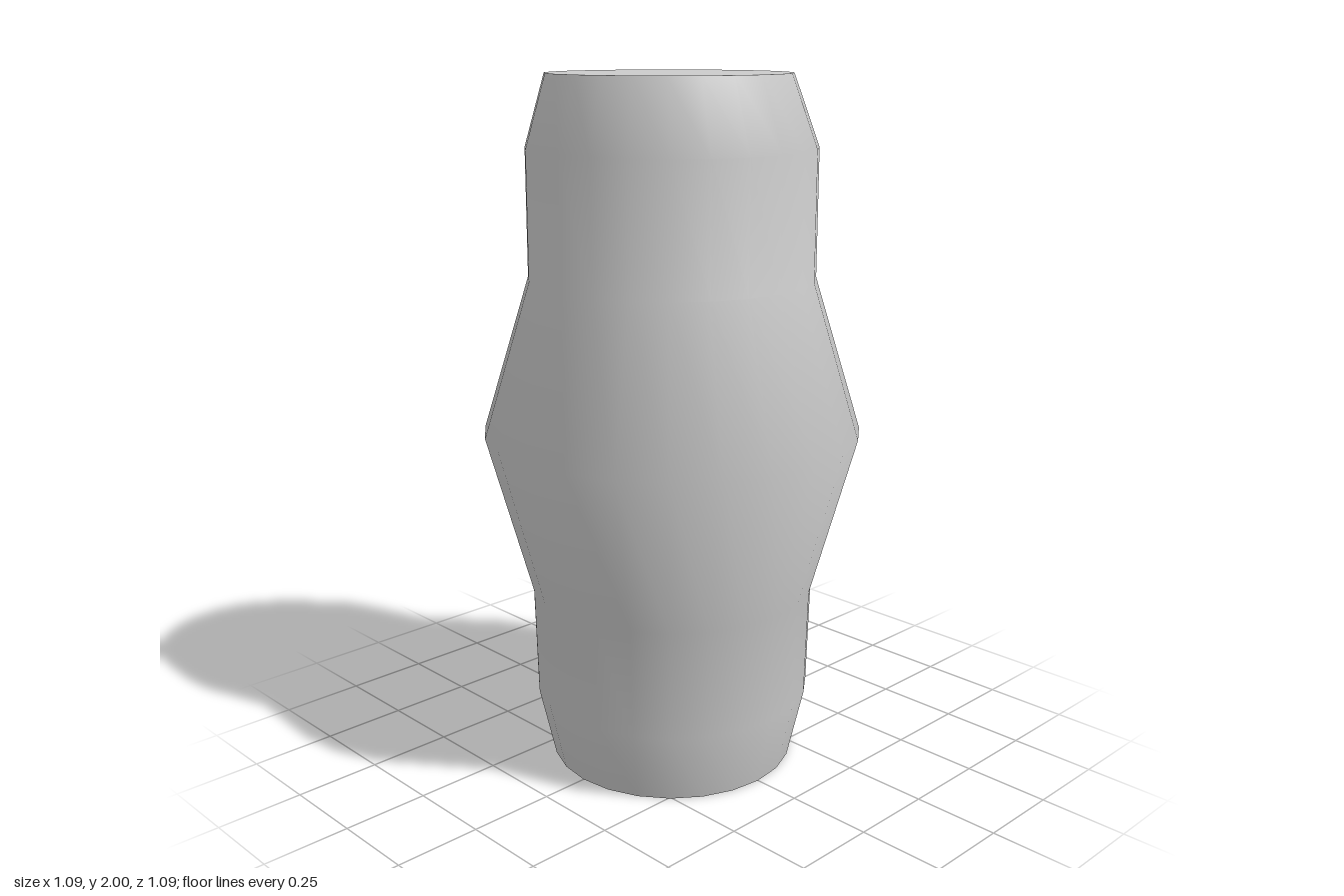
import * as THREE from 'three';

const SIDES = 24;

export function createModel() {
  const group = new THREE.Group();
  group.name = 'bulgedPost';
  const material = new THREE.MeshStandardMaterial({ color: 0xcccccc });

  // Smooth wall: radius and height of each ring, bottom to top
  const profile = [
    [0.36, 0], [0.407, 0.21], [0.415, 0.53], [0.543, 1],
    [0.407, 1.44], [0.407, 1.8], [0.341, 2],
  ].map(([r, y]) => new THREE.Vector2(r, y));
  const wall = new THREE.LatheGeometry(profile, SIDES);

  // The top rim sits slightly off the axis
  const topShift = new THREE.Vector3(-0.008, 0, -0.003);
  const pos = wall.attributes.position;
  for (let i = 0; i < pos.count; i++) {
    if (pos.getY(i) > 1.99) {
      pos.setX(i, pos.getX(i) + topShift.x);
      pos.setZ(i, pos.getZ(i) + topShift.z);
    }
  }
  const body = new THREE.Mesh(wall, material);
  body.name = 'body';
  group.add(body);

  // Flat end caps
  const addCap = (name, radius, y, tilt) => {
    const cap = new THREE.Mesh(new THREE.CircleGeometry(radius, SIDES), material);
    cap.name = name;
    cap.rotation.x = tilt;
    cap.position.y = y;
    group.add(cap);
    return cap;
  };
  addCap('topCap', 0.341, 2, -Math.PI / 2).position.add(topShift);
  addCap('bottomCap', 0.36, 0, Math.PI / 2);

  return group;
}
